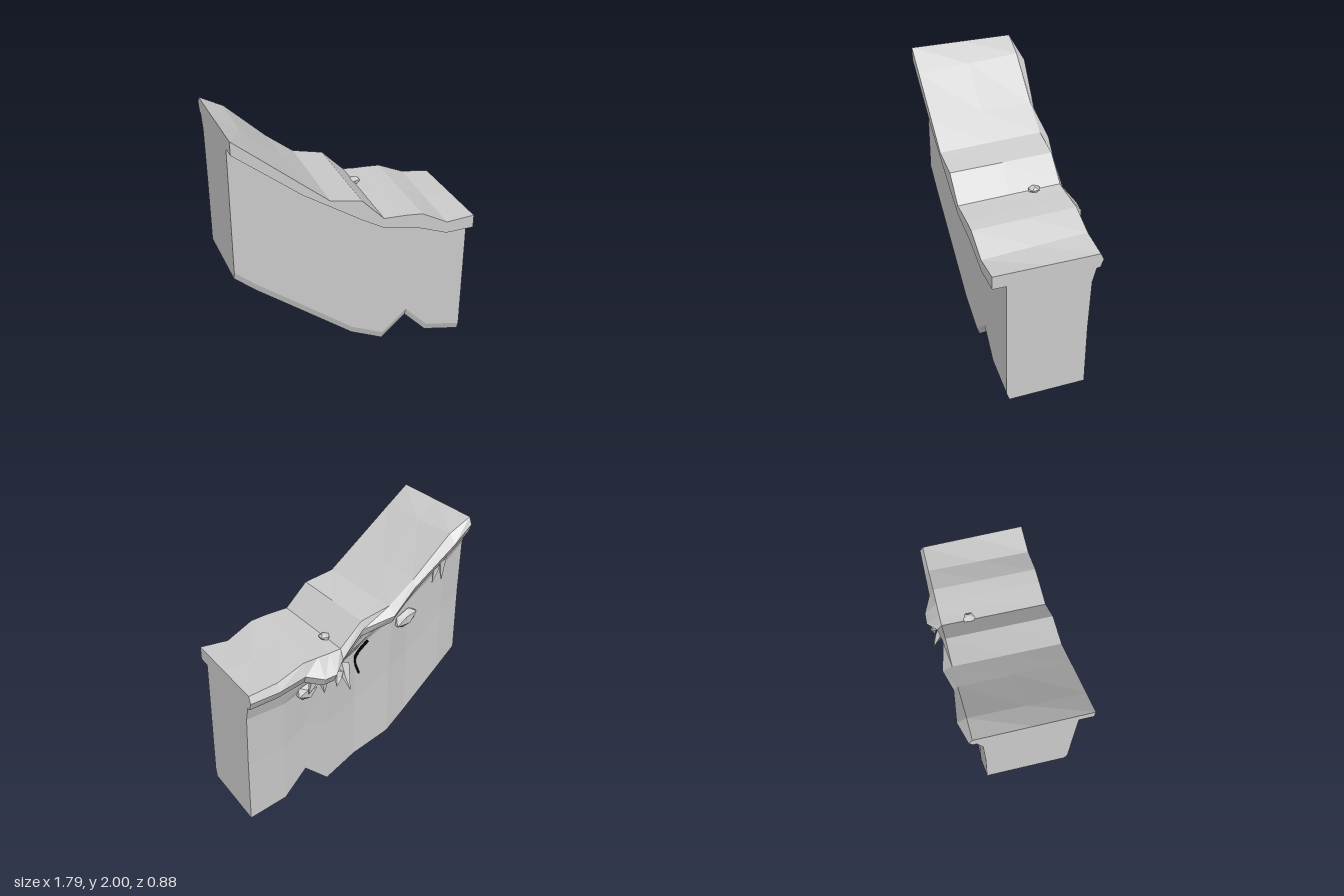
import * as THREE from 'three';

const grey = new THREE.MeshStandardMaterial({ color: 0xcccccc, flatShading: true });
const dark = new THREE.MeshStandardMaterial({ color: 0x000000, side: THREE.DoubleSide });

// Skin closed cross-sections (lists of [x, y, z]) and close both ends
function loft(sections) {
  const n = sections[0].length, last = (sections.length - 1) * n, index = [];
  for (let i = 0; i < sections.length - 1; i++) {
    for (let j = 0; j < n; j++) {
      const a = i * n + j, b = i * n + (j + 1) % n;
      index.push(a, b + n, b, a, a + n, b + n);
    }
  }
  for (let k = 1; k < n - 1; k++) {
    index.push(0, k, k + 1, last, last + k + 1, last + k);
  }
  const g = new THREE.BufferGeometry();
  g.setAttribute('position', new THREE.Float32BufferAttribute(sections.flat(2), 3));
  g.setIndex(index);
  const flat = g.toNonIndexed();
  flat.computeVertexNormals();
  return flat;
}

// Turf stations: x, front top, back top, front bottom, lip z, lip drop
const turf = [
  [-0.9, 2.0, 2.0, 1.905, -0.36, 0.05],
  [-0.73, 1.86, 1.91, 1.77, -0.4, 0.06],
  [-0.43, 1.61, 1.63, 1.53, -0.365, 0.05],
  [-0.23, 1.445, 1.475, 1.4, -0.405, 0.05],
  [0, 1.4, 1.42, 1.25, -0.355, 0.06],
  [0.17, 1.225, 1.25, 1.15, -0.37, 0.07],
  [0.26, 1.22, 1.24, 1.13, -0.435, 0.12],
  [0.35, 1.215, 1.235, 1.115, -0.43, 0.13],
  [0.47, 1.2, 1.225, 1.08, -0.37, 0.09],
  [0.67, 1.09, 1.135, 1.0, -0.365, 0.06],
  [0.89, 1.1, 1.1, 1.0, -0.36, 0.05],
];

// Interpolated turf value at x
function turfAt(x, k) {
  let i = 0;
  while (i < turf.length - 2 && turf[i + 1][0] < x) i++;
  const t = (x - turf[i][0]) / (turf[i + 1][0] - turf[i][0]);
  return THREE.MathUtils.lerp(turf[i][k], turf[i + 1][k], t);
}

// Body stations: x, front bottom, back bottom, back z
const rock = [
  [-0.9, 0.91, 0.91, -0.25],
  [-0.74, 0.77, 0.77, -0.26],
  [-0.46, 0.553, 0.47, -0.24],
  [-0.3, 0.428, 0.34, -0.25],
  [-0.02, 0.21, 0.21, -0.22],
  [0.23, 0.09, 0.09, -0.24],
  [0.42, 0.26, 0.26, -0.25],
  [0.6, 0.07, 0.07, -0.26],
  [0.89, 0.0, 0.0, -0.26],
];

export function createModel() {
  const model = new THREE.Group();
  const add = (name, geometry, material = grey) => {
    const mesh = new THREE.Mesh(geometry, material);
    mesh.name = name;
    model.add(mesh);
    return mesh;
  };

  // Overhanging turf slab with a swollen back lip
  add('turfCap', loft(turf.map(([x, tf, tb, bf, lip, drop]) => [
    [x, tf, 0.44],
    [x, (tf + tb) / 2, 0.05],
    [x, tb, -0.335],
    [x, tb - drop, lip],
    [x, tb - drop - 0.06, Math.min(-0.335, lip + 0.03)],
    [x, Math.min(bf, tb - drop - 0.06), -0.25],
    [x, bf - (x > -0.5 && x < 0.6 ? 0.025 : 0), 0.335],
    [x, bf, 0.44],
  ])));

  // Cliff wall, flared just under the turf at the back
  add('cliffBody', loft(rock.map(([x, bf, bb, z]) => {
    const top = turfAt(x, 3) + 0.02, under = turfAt(x, 3) - 0.03;
    return [
      [x, top, 0.34],
      [x, top, -0.315],
      [x, under, -0.305],
      [x, under - 0.09, z - 0.02],
      [x, (under + bb) / 2, z - 0.005],
      [x, bb, z],
      [x, bf, 0.32],
      [x, bf + 0.06, 0.34],
    ];
  })));

  // Stones: position, half sizes, tilt
  [
    ['wallStoneHigh', [-0.42, 1.3, -0.27], [0.11, 0.06, 0.05], -0.5],
    ['wallStoneLow', [0.42, 0.96, -0.28], [0.09, 0.065, 0.06], -0.3],
    ['topPebble', [0.175, 1.25, -0.13], [0.05, 0.028, 0.05], 0.2],
  ].forEach(([name, p, s, tilt]) => {
    const stone = add(name, new THREE.IcosahedronGeometry(1, 0));
    stone.position.set(...p);
    stone.scale.set(...s);
    stone.rotation.z = tilt;
  });

  // Hanging grass tufts: x, root y, root z, tip dx, tip y, tip z, width
  [
    [0.16, 1.14, -0.36, -0.02, 0.95, -0.415, 0.045],
    [0.22, 1.1, -0.39, 0.02, 1.0, -0.4, 0.04],
    [0.32, 1.08, -0.37, -0.02, 0.93, -0.33, 0.04],
    [0.41, 1.08, -0.37, 0.02, 0.97, -0.34, 0.04],
    [-0.62, 1.72, -0.35, 0.02, 1.56, -0.33, 0.035],
    [-0.67, 1.75, -0.35, -0.02, 1.56, -0.32, 0.035],
  ].forEach(([x, y, z, dx, ty, tz, w]) => {
    const section = (t, r) => {
      const cx = x + dx * t * t, cy = y + (ty - y) * t, cz = z + (tz - z) * t;
      return [[-r, 0], [0, -r * 0.6], [r, 0], [0, r * 0.6]].map(([a, b]) => [cx + a, cy, cz + b]);
    };
    add('grassTuft', loft([section(0, w), section(0.5, w * 0.65), section(1, 0.003)]));
  });

  // Dark crack running down the back wall
  const crack = new THREE.CatmullRomCurve3([
    [-0.08, 1.22, -0.295], [-0.03, 1.12, -0.25], [-0.01, 1.05, -0.232], [-0.05, 0.93, -0.229],
  ].map((p) => new THREE.Vector3(...p)));
  add('wallCrack', new THREE.TubeGeometry(crack, 8, 0.014, 4), dark);

  return model;
}
